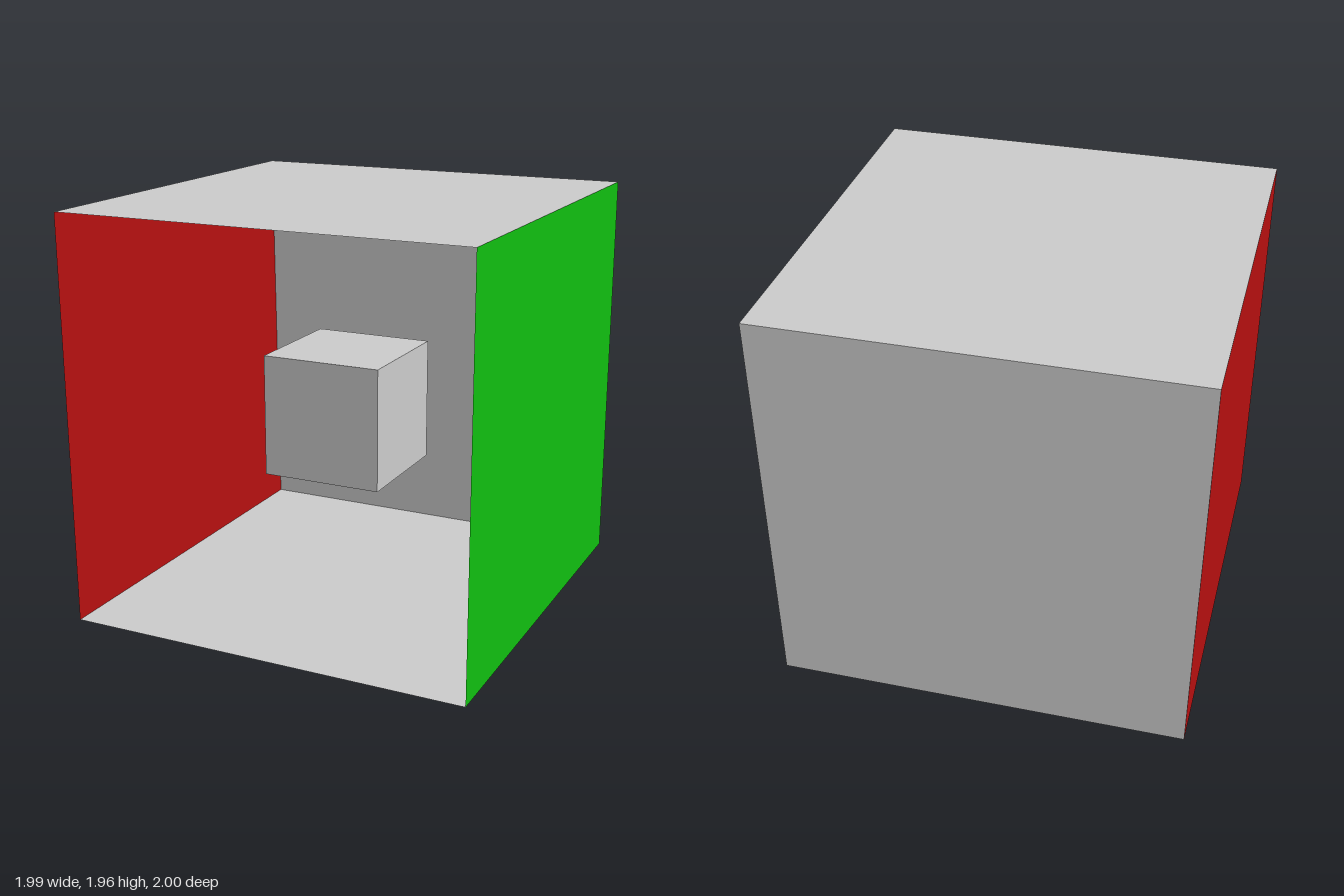
import * as THREE from 'three';

const W = 0.994, H = 1.963, D = 1; // half width, height, half depth
const FRONT_FOOT = -0.983, BACK_FOOT = -0.971; // the red wall leans in at its foot

function paint(color, side = THREE.DoubleSide) {
  return new THREE.MeshStandardMaterial({ color, side, flatShading: true });
}

// Thin wall from four corners, counter-clockwise as seen from inside the room
function panel(name, corners, color) {
  const g = new THREE.BufferGeometry();
  g.setAttribute('position', new THREE.Float32BufferAttribute(corners.flat(), 3));
  g.setIndex([0, 1, 2, 0, 2, 3]);
  g.computeVertexNormals();
  const mesh = new THREE.Mesh(g, paint(color));
  mesh.name = name;
  return mesh;
}

export function createModel() {
  const model = new THREE.Group();
  model.name = 'openRoom';

  // Room corners
  const floorFR = [FRONT_FOOT, 0, D], floorBR = [BACK_FOOT, 0, -D];
  const floorFL = [W, 0, D], floorBL = [W, 0, -D];
  const topFR = [-W, H, D], topBR = [-W, H, -D];
  const topFL = [W, H, D], topBL = [W, H, -D];

  // Room shell, open at the front
  model.add(
    panel('floor', [floorFR, floorFL, floorBL, floorBR], 0xcccccc),
    panel('ceiling', [topFR, topBR, topBL, topFL], 0xcccccc),
    panel('backWall', [floorBR, floorBL, topBL, topBR], 0xcccccc),
    panel('redWall', [floorFR, floorBR, topBR, topFR], 0xb61010),
    panel('greenWall', [floorBL, floorFL, topFL, topBL], 0x10bf10)
  );

  // Cube floating inside the room
  const cube = new THREE.Mesh(new THREE.BoxGeometry(0.59, 0.59, 0.59), paint(0xcccccc, THREE.FrontSide));
  cube.name = 'floatingCube';
  cube.position.set(0.01, 0.95, 0.105);
  model.add(cube);

  return model;
}
